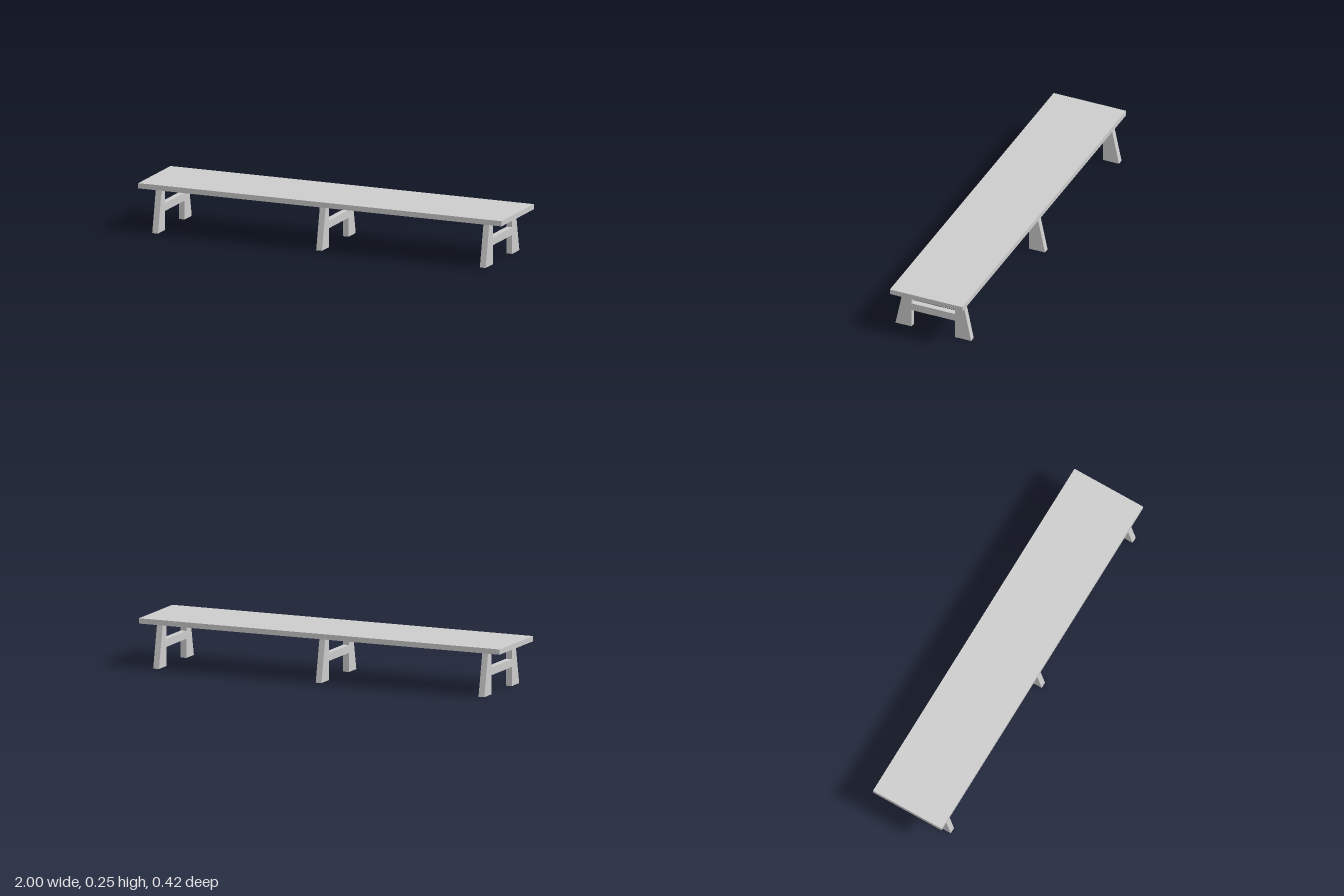
import * as THREE from 'three';

const LEG_WIDTH = 0.032;
const TOP_Y = 0.222;

export function createModel() {
  const model = new THREE.Group();
  model.name = 'bench';
  const material = new THREE.MeshStandardMaterial({ color: 0xcccccc, flatShading: true });

  // Long flat seat board
  const seat = new THREE.Mesh(new THREE.BoxGeometry(2, 0.027, 0.4), material);
  seat.name = 'seat';
  seat.position.set(0, TOP_Y + 0.0135, 0.002);
  model.add(seat);

  // H-shaped trestle outline: two tapered legs joined by a crossbar
  const half = [
    [0.12, 0.098], [0.12, 0], [0.209, 0],
    [0.163, TOP_Y], [0.12, TOP_Y], [0.12, 0.138],
  ];
  const mirrored = half.map(([z, y]) => [-z, y]).reverse();
  const outline = new THREE.Shape([...half, ...mirrored].map(([z, y]) => new THREE.Vector2(z, y)));
  const trestleGeometry = new THREE.ExtrudeGeometry(outline, { depth: LEG_WIDTH, bevelEnabled: false });
  trestleGeometry.translate(0, 0, -LEG_WIDTH / 2);
  trestleGeometry.rotateY(-Math.PI / 2);

  // Three trestles along the length
  const trestles = { rightTrestle: -0.904, middleTrestle: -0.001, leftTrestle: 0.9 };
  for (const [name, x] of Object.entries(trestles)) {
    const trestle = new THREE.Mesh(trestleGeometry, material);
    trestle.name = name;
    trestle.position.x = x;
    model.add(trestle);
  }

  return model;
}
